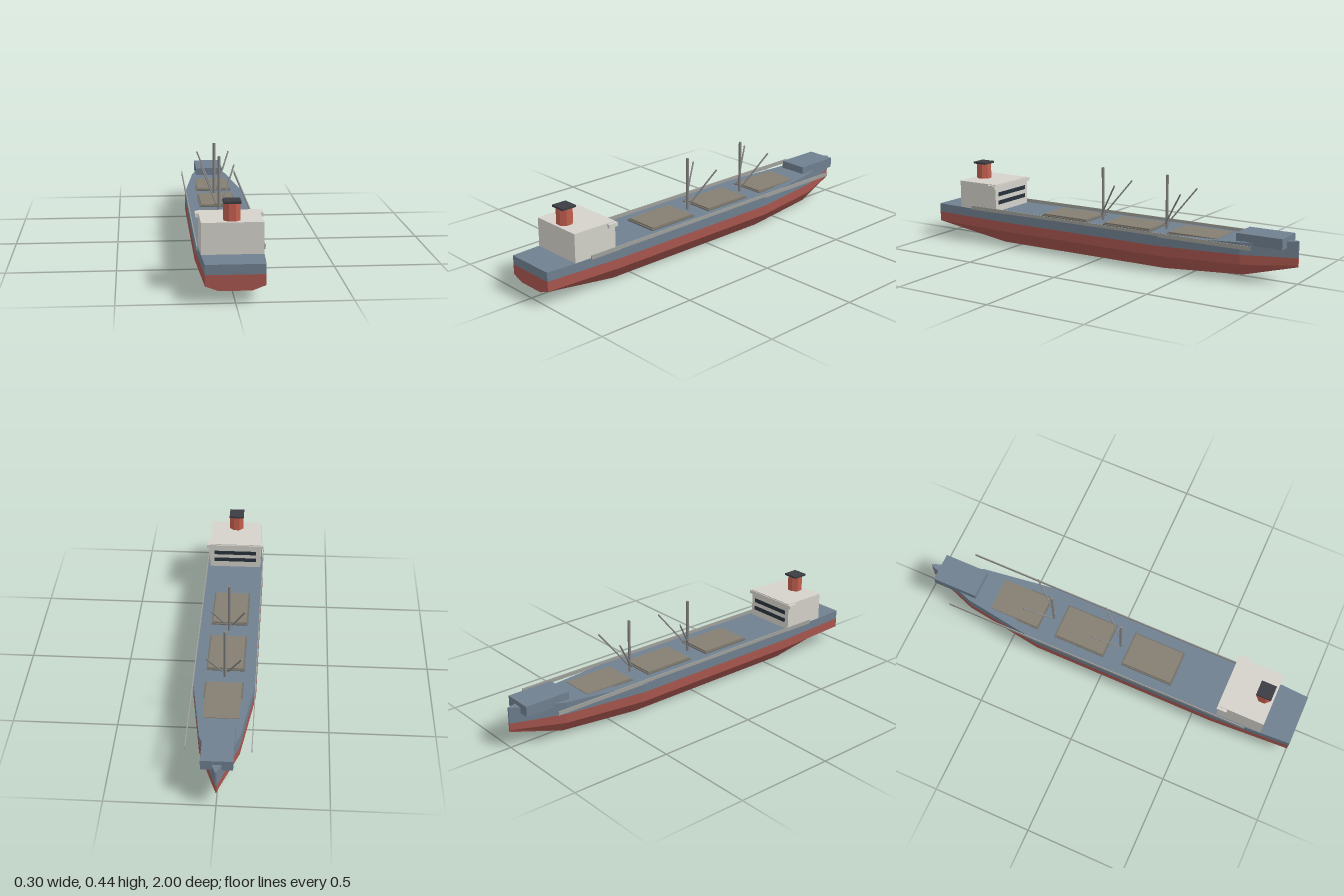
import * as THREE from 'three';

const paint = (color) => new THREE.MeshStandardMaterial({ color, flatShading: true });
const RED = paint(0xa8564e), BLUE = paint(0x708090), WHITE = paint(0xd4d2ca), DARK = paint(0x3c3d42);
const FUNNEL = paint(0xc4604f), STEEL = paint(0x858585), RAIL = paint(0xa0a09c);
const COAMING = paint(0x716f68), COVER = paint(0x857f72), GLASS = paint(0x28323c);

// Hull stations, stern to bow: z, half beam, keel half width, keel y, chine y, deck y
const WATERLINE = 0.123;
const STATIONS = [
  [1, 0.128, 0.07, 0.053, 0.075, 0.167],
  [0.6, 0.15, 0.083, 0, 0.075, 0.167],
  [-0.35, 0.15, 0.083, 0, 0.075, 0.17],
  [-0.75, 0.092, 0.05, 0.02, 0.077, 0.182],
  [-1, 0.004, 0.002, 0.08, 0.09, 0.202],
];

// Skins a row of cross-sections (each clockwise seen from +z) and closes both ends
function loft(rings) {
  const pos = [];
  const tri = (...pts) => pts.forEach((p) => pos.push(...p));
  for (let i = 0; i < rings.length - 1; i++) {
    for (let j = 0; j < rings[i].length - 1; j++) {
      const a = rings[i][j], b = rings[i][j + 1], c = rings[i + 1][j + 1], d = rings[i + 1][j];
      tri(a, b, c);
      tri(a, c, d);
    }
  }
  const first = rings[0], last = rings[rings.length - 1];
  for (let j = 1; j < first.length - 1; j++) {
    tri(first[0], first[j + 1], first[j]);
    tri(last[0], last[j], last[j + 1]);
  }
  const g = new THREE.BufferGeometry();
  g.setAttribute('position', new THREE.Float32BufferAttribute(pos, 3));
  g.computeVertexNormals();
  return g;
}

export function createModel() {
  const ship = new THREE.Group();
  ship.name = 'cargoShip';

  const add = (name, geometry, material) => {
    const mesh = new THREE.Mesh(geometry, material);
    mesh.name = name;
    ship.add(mesh);
    return mesh;
  };
  // Box given by its x half width, y range and z range
  const box = (name, material, halfX, y0, y1, z0, z1, x = 0) =>
    add(name, new THREE.BoxGeometry(halfX * 2, y1 - y0, z1 - z0), material)
      .position.set(x, (y0 + y1) / 2, (z0 + z1) / 2);
  // Round bar between two points
  const bar = (name, from, to, radius) => {
    const dir = to.clone().sub(from);
    const mesh = add(name, new THREE.CylinderGeometry(radius, radius, dir.length(), 8), STEEL);
    mesh.position.copy(from).add(to).multiplyScalar(0.5);
    mesh.quaternion.setFromUnitVectors(new THREE.Vector3(0, 1, 0), dir.normalize());
  };

  // Hull: red bottom with a hard chine, blue topsides and deck
  add('lowerHull', loft(STATIONS.map(([z, w, k, keel, chine]) => [
    [w, WATERLINE, z], [w, chine, z], [k, keel, z],
    [-k, keel, z], [-w, chine, z], [-w, WATERLINE, z],
  ])), RED);
  add('upperHull', loft(STATIONS.map(([z, w, , , , deck]) => [
    [-w, WATERLINE, z], [-w, deck, z], [w, deck, z], [w, WATERLINE, z],
  ])), BLUE);
  box('forecastle', BLUE, 0.072, 0.168, 0.219, -0.95, -0.72);

  // Side rails
  for (const s of [-1, 1]) box('sideRail', RAIL, 0.002, 0.165, 0.185, -0.83, 0.77, s * 0.148);

  // Cargo hatches
  for (const z of [0.225, -0.14, -0.5]) {
    box('hatchCoaming', COAMING, 0.092, 0.16, 0.174, z - 0.135, z + 0.135);
    box('hatchCover', COVER, 0.084, 0.165, 0.181, z - 0.127, z + 0.127);
  }

  // Masts, each with a pair of cargo booms
  for (const z of [0.05, -0.315]) {
    bar('mast', new THREE.Vector3(0, 0.16, z), new THREE.Vector3(0, 0.435, z), 0.007);
    for (const s of [-1, 1]) {
      bar('cargoBoom', new THREE.Vector3(s * 0.015, 0.2, z),
        new THREE.Vector3(s * 0.083, 0.368, z - 0.118), 0.004);
    }
  }

  // Deckhouse with bridge wings and window strips
  box('deckhouse', WHITE, 0.135, 0.16, 0.307, 0.62, 0.85);
  box('bridgeWings', WHITE, 0.15, 0.285, 0.303, 0.615, 0.665);
  for (const y of [0.212, 0.255]) box('windowStrip', GLASS, 0.112, y - 0.01, y + 0.01, 0.616, 0.63);

  // Funnel
  const funnel = add('funnel', new THREE.CylinderGeometry(0.039, 0.039, 0.085, 8), FUNNEL);
  funnel.position.set(0, 0.3435, 0.8);
  funnel.rotation.y = Math.PI / 8;
  box('funnelCap', DARK, 0.038, 0.384, 0.394, 0.762, 0.838);

  return ship;
}
